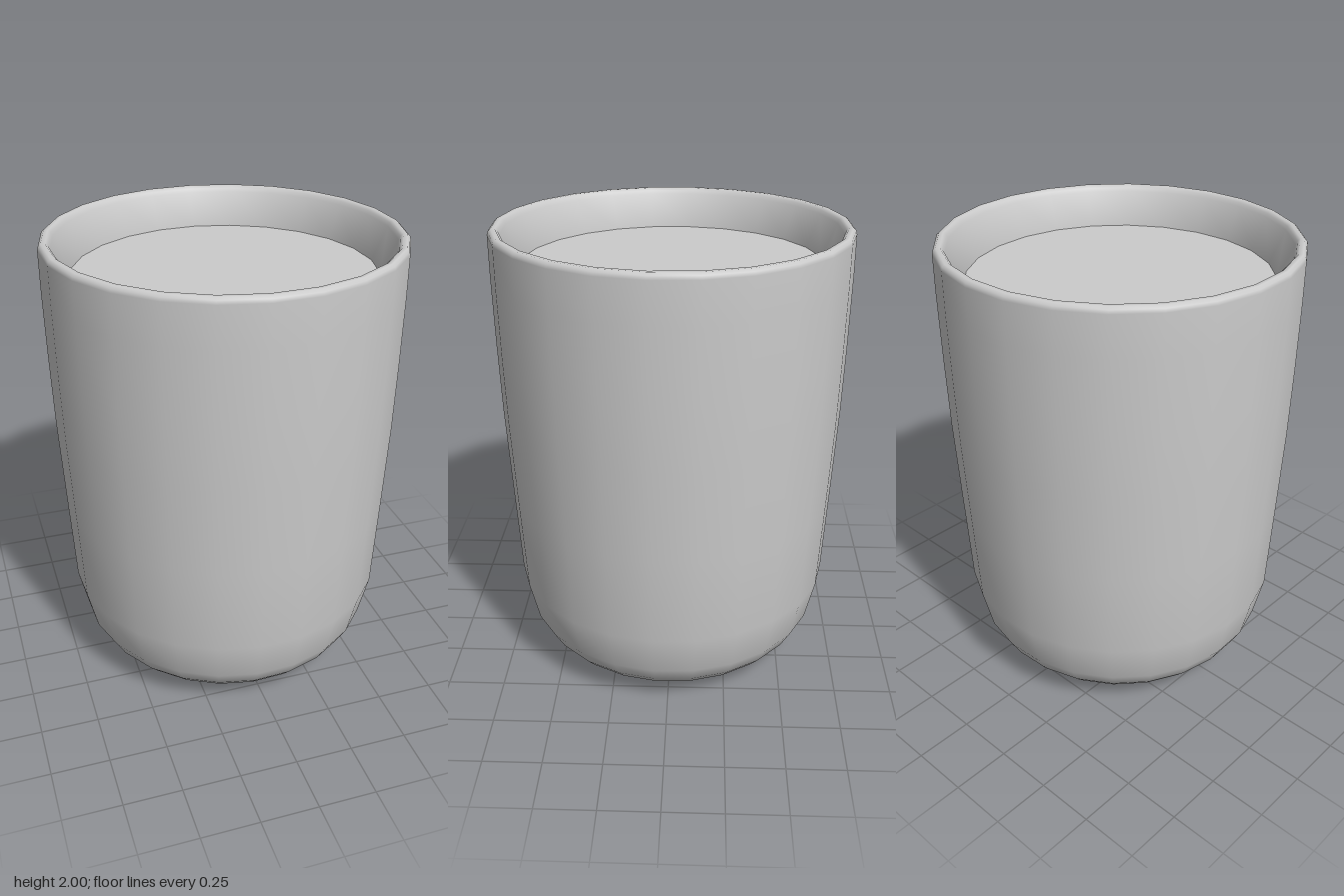
import * as THREE from 'three';

const SIDES = 24;
const TURN = -THREE.MathUtils.degToRad(5);

export function createModel() {
  const group = new THREE.Group();
  const grey = new THREE.MeshStandardMaterial({ color: 0xcccccc, side: THREE.DoubleSide });

  // Closed wall section: underside, outer wall, rolled rim, inner wall, floor, drain hole
  const section = [
    [0.093, 0.025], [0.11, 0.024], [0.2, 0.012], [0.33, 0],
    [0.485, 0.04], [0.575, 0.09], [0.622, 0.14], [0.665, 0.215], [0.708, 0.4],
    [0.728, 0.8], [0.747, 1.2], [0.755, 1.5], [0.76, 1.8], [0.76, 1.975],
    [0.756, 1.99], [0.745, 2], [0.727, 2], [0.716, 1.99], [0.71, 1.975],
    [0.645, 1.83], [0.64, 1.5], [0.635, 1.2], [0.61, 0.45],
    [0.57, 0.26], [0.5, 0.17], [0.33, 0.11], [0.11, 0.1], [0.093, 0.099],
    [0.093, 0.09], [0.093, 0.035], [0.093, 0.025],
  ].map(([r, y]) => new THREE.Vector2(r, y));
  const pot = new THREE.Mesh(new THREE.LatheGeometry(section, SIDES, TURN), grey);
  pot.name = 'pot';
  group.add(pot);

  // Flat soil surface just below the rim
  const soil = new THREE.Mesh(new THREE.CircleGeometry(0.648, SIDES, TURN).rotateX(-Math.PI / 2), grey);
  soil.name = 'soil';
  soil.position.y = 1.832;
  group.add(soil);

  return group;
}
